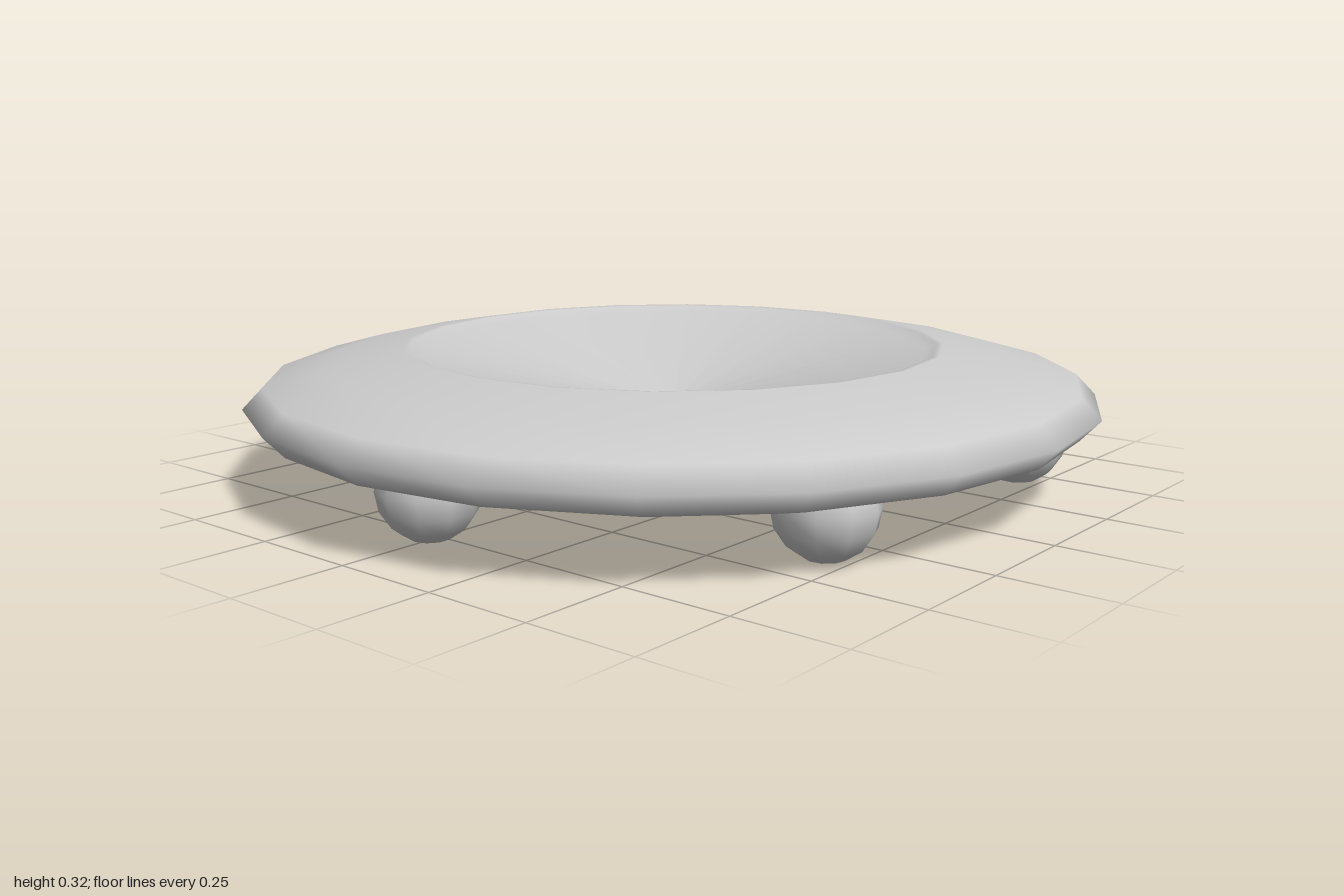
import * as THREE from 'three';

export function createModel() {
  const group = new THREE.Group();
  const material = new THREE.MeshStandardMaterial({ color: 0xcccccc });

  // Shallow dish: slightly hollow underside, soft rim, small lip and conical hollow on top
  const profile = [
    [0, 0.125], [0.35, 0.103], [0.64, 0.087], [0.81, 0.108], [0.955, 0.15], [1, 0.198],
    [0.955, 0.245], [0.81, 0.285], [0.64, 0.316], [0.625, 0.314], [0.6, 0.3], [0, 0.16],
  ].map(([r, y]) => new THREE.Vector2(r, y));
  const dish = new THREE.Mesh(new THREE.LatheGeometry(profile, 20), material);
  dish.name = 'dish';
  group.add(dish);

  // Six ball feet in a ring under the dish
  const feet = new THREE.Group();
  feet.name = 'feet';
  feet.position.set(0.017, 0.111, 0.01);
  const ball = new THREE.SphereGeometry(0.111, 10, 8);
  for (let i = 0; i < 6; i++) {
    const angle = (i * Math.PI) / 3;
    const foot = new THREE.Mesh(ball, material);
    foot.name = 'foot' + (i + 1);
    foot.position.set(0.8 * Math.cos(angle), 0, 0.8 * Math.sin(angle));
    foot.rotation.y = -angle;
    feet.add(foot);
  }
  group.add(feet);

  return group;
}
